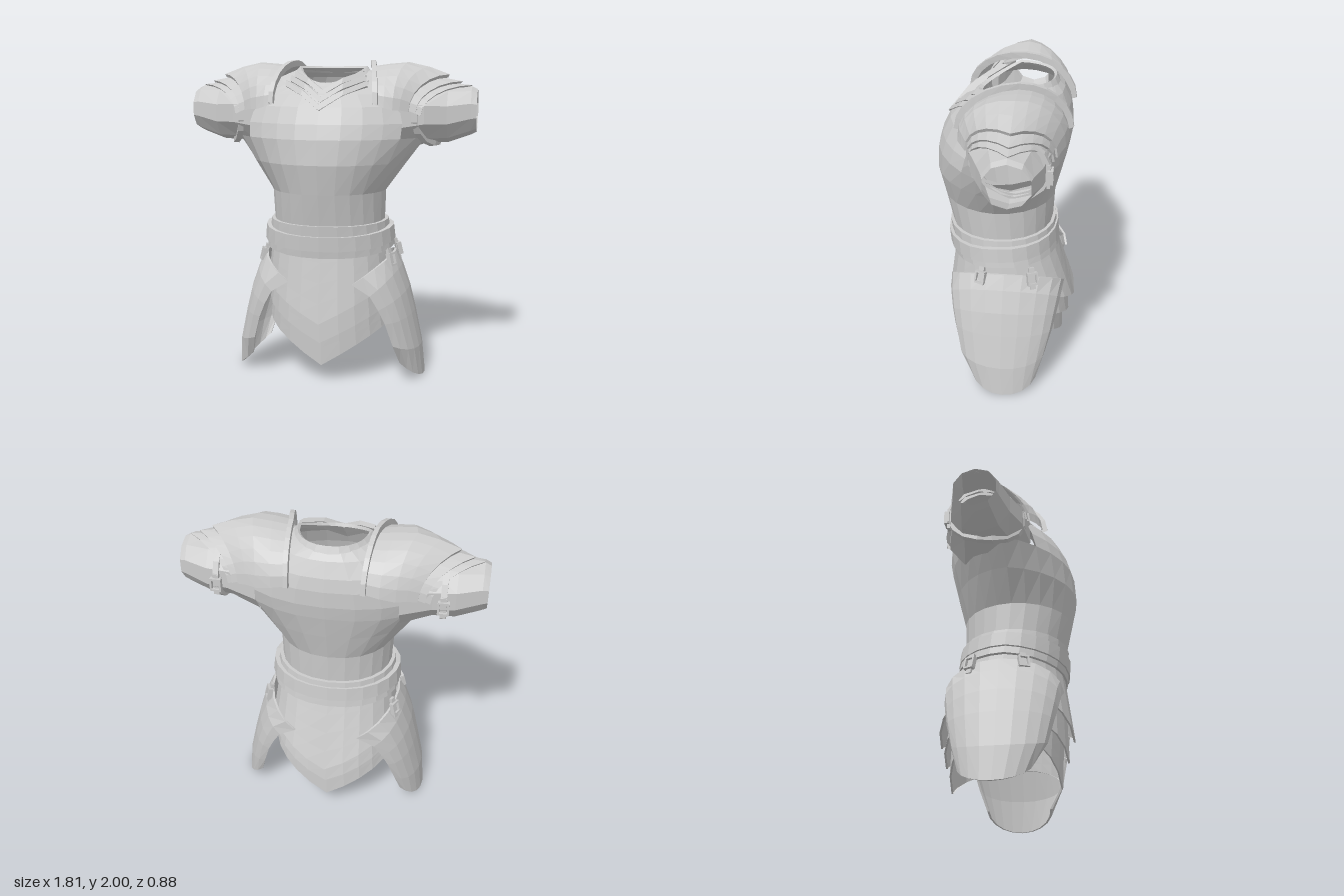
import * as THREE from 'three';

const V = (x, y, z) => new THREE.Vector3(x, y, z);
const mat = new THREE.MeshStandardMaterial({ color: 0xcccccc, flatShading: true, side: THREE.DoubleSide });

function add(parent, name, geo) {
  const mesh = new THREE.Mesh(geo, mat);
  mesh.name = name;
  parent.add(mesh);
  return mesh;
}

// Skin a list of point rows; skip(row, col) leaves openings.
function loft(rows, closed = false, skip = () => false) {
  const n = rows[0].length, pos = [], idx = [];
  rows.forEach(r => r.forEach(p => pos.push(p.x, p.y, p.z)));
  for (let i = 0; i < rows.length - 1; i++) {
    for (let j = 0; j < (closed ? n : n - 1); j++) {
      if (skip(i, j)) continue;
      const k = (j + 1) % n, a = i * n + j, b = i * n + k, c = a + n, d = b + n;
      idx.push(a, c, b, b, c, d);
    }
  }
  const g = new THREE.BufferGeometry();
  g.setAttribute('position', new THREE.Float32BufferAttribute(pos, 3));
  g.setIndex(idx);
  g.computeVertexNormals();
  return g;
}

// Horizontal body ring; the front can dip and taper, and the height can follow x.
const SEG = 24;
function ring(y, rx, zf, zb, dip = 0, taper = 0, yOf = null) {
  const zc = (zf + zb) / 2, out = [];
  for (let j = 0; j < SEG; j++) {
    const a = -j / SEG * Math.PI * 2, c = Math.cos(a), s = Math.sin(a), front = Math.max(0, s);
    const x = rx * Math.sign(c) * Math.abs(c) ** 0.92 * (1 - taper * front);
    out.push(V(x, yOf ? yOf(x) : y - dip * front, zc + (zf - zb) / 2 * s));
  }
  return out;
}

// Slanted arc over the shoulder from a front point, across the top, to a back point.
function arc([tx, ty], [fx, fy, fz], [bx, by, bz], n = 12) {
  const out = [];
  for (let j = 0; j <= n; j++) {
    const a = j / n * Math.PI, s = Math.sin(a), c = Math.cos(a), u = Math.abs(c);
    const [ex, ey, ez] = c >= 0 ? [fx, fy, fz] : [bx, by, bz];
    out.push(V(tx + (ex - tx) * u, ey + (ty - ey) * s, -0.08 + (ez + 0.08) * u));
  }
  return out;
}

// Raised square moulding along an arc.
function rail(points, w, h) {
  const mid = V(0, 1.62, -0.08);
  return loft(points.map(p => {
    const up = V(0, p.y - mid.y, p.z - mid.z).normalize().multiplyScalar(h);
    const l = p.clone().setX(p.x - w), r = p.clone().setX(p.x + w);
    return [l, l.clone().add(up), r.clone().add(up), r];
  }), true);
}

function buckle(parent, name, x, y, z, rotY, rotZ) {
  const g = new THREE.Group();
  g.name = name;
  g.position.set(x, y, z);
  g.rotation.set(0, rotY, rotZ);
  add(g, 'buckleStrap', new THREE.BoxGeometry(0.02, 0.14, 0.035));
  for (const s of [-1, 1]) {
    add(g, 'buckleBar', new THREE.BoxGeometry(0.03, 0.012, 0.065)).position.set(0.01, s * 0.035, 0);
    add(g, 'buckleSide', new THREE.BoxGeometry(0.03, 0.07, 0.012)).position.set(0.01, 0, s * 0.028);
  }
  parent.add(g);
}

function buildSide(name) {
  const side = new THREE.Group();
  side.name = name;

  // Short sleeve, open at the cuff
  const sleeve = [[0.42, 1.66, 0.24, -0.07, 0.27], [0.6, 1.67, 0.18, -0.06, 0.23],
    [0.73, 1.667, 0.175, -0.075, 0.19], [0.87, 1.69, 0.148, -0.078, 0.145], [0.905, 1.69, 0.13, -0.078, 0.135]];
  const oval = ([x, yc, ry, zc, rz], n = 10) => Array.from({ length: n }, (_, j) => {
    const a = j / n * Math.PI * 2 + Math.PI / n;
    return V(x, yc + ry * Math.sin(a), zc + rz * Math.cos(a));
  });
  add(side, 'sleeve', loft(sleeve.map(r => oval(r)).reverse(), true));

  // Strap around the sleeve, swept inward at the front
  const strapRing = (dx, grow) => oval([0, 1.665, 0.18 + grow, -0.06, 0.22 + grow], 16)
    .map(p => p.setX(0.645 + dx - 0.12 * Math.max(0, p.z + 0.06) / 0.23));
  add(side, 'sleeveStrap', loft([strapRing(0.035, -0.02), strapRing(0.035, 0.015),
    strapRing(0, 0.018), strapRing(0, -0.02)], true));
  buckle(side, 'sleeveBuckle', 0.665, 1.64, -0.28, Math.PI / 2, 0);

  // Shoulder plate with two overlapping lames
  const inner = arc([0.25, 1.96], [0.32, 1.73, 0.25], [0.22, 1.72, -0.36]);
  add(side, 'shoulderPlate', loft([
    inner,
    arc([0.36, 1.975], [0.37, 1.715, 0.26], [0.31, 1.71, -0.375]),
    arc([0.48, 1.985], [0.42, 1.7, 0.25], [0.4, 1.69, -0.36]),
    arc([0.61, 1.955], [0.46, 1.7, 0.23], [0.46, 1.69, -0.34]),
    arc([0.73, 1.91], [0.51, 1.69, 0.2], [0.52, 1.68, -0.32]),
    arc([0.72, 1.89], [0.51, 1.69, 0.18], [0.52, 1.68, -0.3])]));
  add(side, 'upperLame', loft([
    arc([0.64, 1.9], [0.47, 1.71, 0.19], [0.48, 1.7, -0.31]),
    arc([0.81, 1.868], [0.55, 1.68, 0.185], [0.56, 1.67, -0.305]),
    arc([0.8, 1.855], [0.55, 1.68, 0.17], [0.56, 1.67, -0.29])]));
  add(side, 'lowerLame', loft([
    arc([0.7, 1.86], [0.51, 1.7, 0.175], [0.51, 1.69, -0.295]),
    arc([0.87, 1.845], [0.58, 1.665, 0.175], [0.59, 1.655, -0.29]),
    arc([0.86, 1.835], [0.58, 1.665, 0.16], [0.59, 1.655, -0.28])]));
  add(side, 'shoulderRail', rail(inner, 0.014, 0.038));

  // Hip plate: rows of [side y, side x, edge y, edge x, front z, back z]
  const hip = [[0.8, 0.42, 0.65, 0.2, 0.355, -0.375], [0.71, 0.46, 0.58, 0.31, 0.345, -0.355],
    [0.57, 0.51, 0.49, 0.36, 0.33, -0.335], [0.42, 0.548, 0.4, 0.4, 0.31, -0.315],
    [0.2, 0.597, 0.25, 0.445, 0.275, -0.275], [0, 0.617, 0.12, 0.48, 0.2, -0.23]];
  const hipRows = inset => hip.map(([yo, xo, ye, xe, zf, zb]) => Array.from({ length: 11 }, (_, j) => {
    const a = (0.5 - j / 10) * Math.PI, c = Math.cos(a);
    return V(xe + (xo - xe) * c - inset * c, ye + (yo - ye) * c,
      (zf + zb) / 2 + ((zf - zb) / 2 - inset) * Math.sin(a));
  }));
  const outer = hipRows(0), lining = hipRows(0.014);
  const border = rows => [...rows[0], ...rows.slice(1).map(r => r[10]),
    ...rows[5].slice(0, 10).reverse(), ...rows.slice(1, 5).map(r => r[0]).reverse()];
  add(side, 'hipPlate', loft(outer));
  add(side, 'hipPlateLining', loft(lining));
  add(side, 'hipPlateEdge', loft([border(outer), border(lining)], true));
  buckle(side, 'frontHipBuckle', 0.405, 0.77, 0.135, -0.45, 0.25);
  buckle(side, 'backHipBuckle', 0.405, 0.78, -0.18, 0.45, 0.25);
  return side;
}

export function createModel() {
  const model = new THREE.Group();
  model.name = 'torsoArmour';

  // Chest and back, with arm openings and a neck pointed at the front
  const body = [[0.88, 0.365, 0.335, -0.28], [1.0, 0.352, 0.355, -0.28], [1.2, 0.36, 0.4, -0.29, 0, 0.04],
    [1.38, 0.49, 0.437, -0.335, 0, 0.15], [1.53, 0.6, 0.427, -0.37, 0, 0.22], [1.62, 0.61, 0.4, -0.385, 0, 0.22],
    [1.72, 0.57, 0.35, -0.385, 0, 0.2], [1.8, 0.48, 0.29, -0.37, 0.01, 0.2],
    [1.89, 0.35, 0.235, -0.33, 0.07, 0.25], [1.95, 0.205, 0.17, -0.27, 0.1, 0.35]];
  const armOpening = (i, j) => i > 3 && i < 7 && Math.min(j % 12, 11 - j % 12) < 2;
  add(model, 'cuirass', loft(body.map(r => ring(...r)).reverse(), true,
    (i, j) => armOpening(body.length - 2 - i, j)));
  add(model, 'collar', loft([ring(1.95, 0.2, 0.16, -0.265, 0.1, 0.35), ring(1.96, 0.215, 0.185, -0.28, 0.1, 0.33),
    ring(1.92, 0.25, 0.21, -0.3, 0.08, 0.3)], true));

  // Stacked V-shaped bands: [centre y, centre z, end x, end y, end z]
  const bands = [[1.815, 0.255, 0.215, 1.925, 0.07], [1.775, 0.305, 0.235, 1.9, 0.1], [1.73, 0.345, 0.255, 1.87, 0.14]];
  for (const [cy, cz, ex, ey, ez] of bands) {
    const rows = [-1, -0.5, 0, 0.5, 1].map(t => {
      const u = Math.abs(t), x = ex * t, bulge = 0.06 * u * (1 - u);
      const y = cy + (ey - cy) * u + bulge, z = cz + (ez - cz) * u + bulge;
      return [V(x, y, z - 0.04), V(x, y + 0.005, z + 0.005), V(x, y - 0.028, z + 0.03), V(x, y - 0.04, z - 0.01)];
    });
    add(model, 'neckBand', loft(rows, true));
  }

  // Belt layers: top y, bottom y, radius, front z, back z, front dip
  const belts = [['upperBelt', 1.015, 0.95, 0.38, 0.375, -0.3, 0.01],
    ['mainBelt', 0.98, 0.89, 0.415, 0.385, -0.315, 0.04],
    ['lowerBelt', 0.9, 0.845, 0.405, 0.37, -0.32, 0.04]];
  for (const [name, top, low, rx, zf, zb, dip] of belts) {
    const lip = y => ring(y, rx - 0.06, zf - 0.06, zb + 0.06, dip);
    add(model, name, loft([lip(top), ring(top, rx - 0.005, zf, zb, dip),
      ring(low, rx + 0.005, zf - 0.008, zb - 0.008, dip), lip(low)], true));
  }

  // Three pointed skirt tiers: top y, width, front, back, tip y, slope, then bottom width, front, back
  const tiers = [[0.9, 0.375, 0.335, -0.29, 0.4, 0.54, 0.41, 0.4, -0.44],
    [0.66, 0.375, 0.35, -0.35, 0.27, 0.52, 0.405, 0.36, -0.405],
    [0.56, 0.375, 0.335, -0.355, 0.11, 0.62, 0.405, 0.315, -0.365]];
  tiers.forEach(([y0, rx0, f0, b0, tip, slope, rx1, f1, b1], k) => {
    const rows = [0, 0.25, 0.5, 0.75, 1].map(t => {
      const mix = (a, b) => a + (b - a) * t;
      return ring(0, mix(rx0, rx1), mix(f0, f1), mix(b0, b1), 0, 0,
        x => mix(y0, tip + slope * Math.abs(x)));
    });
    rows.push(rows[4].map(p => V(p.x * 0.97, p.y, p.z * 0.97)));
    add(model, 'skirtTier' + (k + 1), loft(rows, true));
  });

  // Mirrored sleeves, shoulder plates and hip plates
  const left = buildSide('leftSide'), right = buildSide('rightSide');
  right.scale.x = -1;
  model.add(left, right);
  return model;
}
